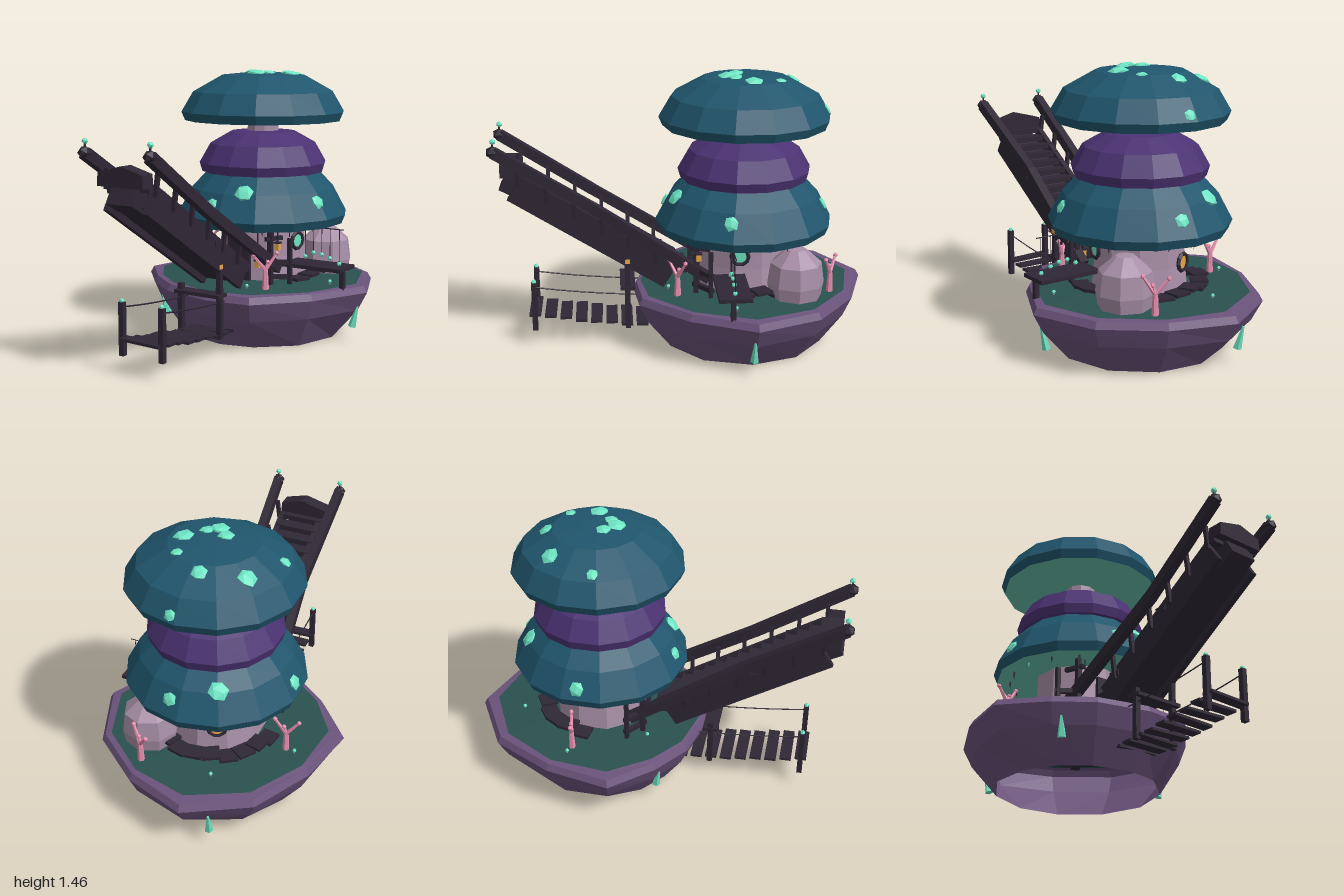
import * as THREE from 'three';

const mat = (name, color, side = THREE.FrontSide) => {
  const m = new THREE.MeshStandardMaterial({ color, flatShading: true, side });
  m.name = name;
  return m;
};
const TEAL = mat('teal cap', 0x20566d), PURPLE = mat('purple cap', 0x4b3272), GILL = mat('gill green', 0x66c0ac);
const ROCK = mat('purple rock', 0x6b537b, THREE.DoubleSide), MOSS = mat('moss green', 0x2a514e, THREE.DoubleSide);
const MINT = mat('glowing mint', 0x6ee6c4), WOOD = mat('dark wood', 0x2f2735);
const LILAC = mat('pale lilac', 0xa88fa7), PINK = mat('coral pink', 0xe890b0), AMBER = mat('amber lantern', 0xe8a848);

const CZ = -0.33; // centre line of the tower
const rad = THREE.MathUtils.degToRad;
const V = (x, y, z) => new THREE.Vector3(x, y, z);
const around = (deg, r, y) => V(Math.sin(rad(deg)) * r, y, CZ + Math.cos(rad(deg)) * r);

export function createModel() {
  const model = new THREE.Group();
  model.name = 'mushroomTowerIsland';

  const add = (name, geo, material, p = V(0, 0, 0)) => {
    const m = new THREE.Mesh(geo, material);
    m.name = name;
    m.position.copy(p);
    model.add(m);
    return m;
  };
  const box = (name, w, h, d, material, x, y, z) => add(name, new THREE.BoxGeometry(w, h, d), material, V(x, y, z));
  // square beam running from a to b
  const beam = (name, a, b, w, h, material = WOOD) => {
    const m = add(name, new THREE.BoxGeometry(w, h, a.distanceTo(b)), material, a.clone().lerp(b, 0.5));
    m.lookAt(b);
    return m;
  };
  // round rod running from a to b
  const rod = (name, a, b, ra, rb, material, sides = 6) => {
    const m = add(name, new THREE.CylinderGeometry(rb, ra, a.distanceTo(b), sides), material, a.clone().lerp(b, 0.5));
    m.quaternion.setFromUnitVectors(V(0, 1, 0), b.clone().sub(a).normalize());
    return m;
  };
  const ball = (name, p, r, material = MINT) => add(name, new THREE.IcosahedronGeometry(r, 0), material, p);
  const lathe = (name, pts, sides, material, p = V(0, 0, CZ)) =>
    add(name, new THREE.LatheGeometry(pts.map(q => new THREE.Vector2(...q)), sides), material, p);

  // Island: irregular twelve-sided shell on a round foot, open underneath
  const angles = [0, 24.5, 57, 91, 124, 157, 188, 220.6, 254, 285, 310, 332];
  const radii = [0.6, 0.63, 0.59, 0.65, 0.62, 0.61, 0.68, 0.645, 0.61, 0.68, 0.61, 0.6];
  // each profile row: radius, height, how far the irregular outline applies
  const island = (name, profile, material) => {
    const geo = new THREE.LatheGeometry(profile.map(q => new THREE.Vector2(q[0], q[1])), 12);
    const pos = geo.attributes.position, n = profile.length;
    for (let k = 0; k < pos.count; k++) {
      const i = Math.floor(k / n) % 12, [f, y, wobble] = profile[k % n];
      const a = rad(angles[i]), r = f * (0.63 + (radii[i] - 0.63) * wobble);
      pos.setXYZ(k, Math.sin(a) * r, y, Math.cos(a) * r);
    }
    geo.computeVertexNormals();
    add(name, geo, material, V(0, 0, CZ));
  };
  island('islandRock', [[0.705, 0, 0], [0.92, 0.17, 0.8], [1, 0.275, 1], [0.97, 0.31, 1], [0.91, 0.316, 0.5]], ROCK);
  island('mossGround', [[0.91, 0.316, 0.5], [0.5, 0.322, 0], [0, 0.322, 0]], MOSS);

  // Dark timber floor and braces under the ground
  add('underFloor', new THREE.CylinderGeometry(0.45, 0.45, 0.02, 12), WOOD, V(0, 0.295, CZ));
  for (let i = 0; i < 6; i++) beam('underBrace', around(i * 60, 0.1, 0.28), around(i * 60 + 25, 0.42, 0.28), 0.05, 0.04);

  // Tower walls and neck
  lathe('towerWall', [[0.26, 0.31], [0.245, 0.45], [0.235, 0.66]], 10, LILAC);
  lathe('towerNeck', [[0.09, 1.08], [0.085, 1.22]], 10, LILAC);

  // Three mushroom caps with pale gills
  const lower = [[0.455, 0.622], [0.475, 0.67], [0.4, 0.81], [0.31, 0.905], [0, 0.95]];
  const middle = [[0.34, 0.9], [0.355, 0.95], [0.295, 1.055], [0.18, 1.12], [0, 1.13]];
  const upper = [[0.435, 1.183], [0.455, 1.23], [0.39, 1.34], [0.23, 1.43], [0.08, 1.445], [0, 1.445]];
  for (const [name, p, m, under] of [['lowerCap', lower, TEAL, GILL], ['middleCap', middle, PURPLE, PURPLE], ['upperCap', upper, TEAL, GILL]]) {
    lathe(name, p, 14, m);
    lathe(name + 'Underside', [[0, p[0][1] + 0.02], [p[0][0], p[0][1]]], 14, under);
  }

  // Glowing spots lying on the cap surface
  const spot = (profile, deg, r, size) => {
    let k = 1;
    while (k < profile.length - 2 && profile[k + 1][0] > r) k++;
    const [r0, y0] = profile[k], [r1, y1] = profile[k + 1];
    const y = y0 + (y1 - y0) * (r0 - r) / (r0 - r1);
    const up = V(Math.sin(rad(deg)) * (y1 - y0), r0 - r1, Math.cos(rad(deg)) * (y1 - y0)).normalize();
    const m = ball('glowSpot', around(deg, r * 0.99, y), size * 1.15);
    m.scale.y = 0.35;
    m.quaternion.setFromUnitVectors(V(0, 1, 0), up);
  };
  for (const [x, z, s] of [[-0.25, -0.51, 0.043], [-0.04, -0.59, 0.036], [0.12, -0.5, 0.027], [0.155, -0.355, 0.047], [-0.04, -0.285, 0.038],
    [0.07, -0.27, 0.034], [0.02, -0.23, 0.047], [-0.345, -0.27, 0.028], [0.03, -0.765, 0.028]])
    spot(upper, THREE.MathUtils.radToDeg(Math.atan2(x, z - CZ)), Math.hypot(x, z - CZ), s);
  for (const [deg, r, s] of [[-9, 0.43, 0.032], [16, 0.39, 0.046], [75, 0.425, 0.036], [172, 0.43, 0.034], [206, 0.39, 0.046], [267, 0.445, 0.036]])
    spot(lower, deg, r, s);

  // Drips hanging below the lower cap
  for (let i = 0; i < 16; i++)
    rod('capDrip', around(i * 22.5 + 8, 0.38, 0.64), around(i * 22.5 + 8, 0.38, 0.6 - (i % 3) * 0.01), 0.008, 0.001, i % 4 ? WOOD : MINT, 5);

  // Round windows with wooden frames
  for (const [deg, y, m] of [[80, 0.53, MINT], [204, 0.47, AMBER]]) {
    const group = new THREE.Group();
    group.name = 'roundWindow';
    const frame = new THREE.Mesh(new THREE.TorusGeometry(0.045, 0.011, 5, 10), WOOD);
    frame.name = 'windowFrame';
    const pane = new THREE.Mesh(new THREE.CircleGeometry(0.043, 10), m);
    pane.name = 'windowPane';
    group.add(frame, pane);
    group.position.copy(around(deg, 0.252, y));
    group.rotation.y = rad(deg);
    model.add(group);
  }
  box('door', 0.14, 0.24, 0.02, WOOD, 0, 0.44, CZ + 0.25);

  // Plank walkway around the house
  for (let i = 0; i < 13; i++) {
    const m = box('walkwayPlank', 0.095, 0.016, 0.09, WOOD, 0, 0, 0);
    m.position.copy(around(70 + i * 16, 0.31, 0.335 + (i % 3) * 0.01));
    m.rotation.y = rad(70 + i * 16 + (i % 3) * 6);
  }

  // Small hanging lanterns
  for (const [x, y, z] of [[-0.165, 0.52, -0.06], [0.15, 0.43, -0.03], [0.25, 0.53, -0.07]]) {
    box('lantern', 0.026, 0.036, 0.026, AMBER, x, y, z);
    box('lanternLid', 0.034, 0.008, 0.034, WOOD, x, y + 0.022, z);
    beam('lanternHanger', V(x, y + 0.02, z), V(x, 0.63, z), 0.006, 0.006);
  }

  // Mirrored front porch, stair rails and bridge sides
  for (const s of [-1, 1]) {
    beam('porchPost', V(s * 0.29, 0.31, -0.13), V(s * 0.29, 0.57, -0.13), 0.022, 0.022);
    beam('porchPost', V(s * 0.21, 0.31, -0.06), V(s * 0.21, 0.62, -0.06), 0.026, 0.026);
    for (const y of [0.36, 0.44]) beam('porchRail', V(s * 0.3, y, -0.14), V(s * 0.18, y, -0.05), 0.022, 0.026);
    beam('porchLintel', V(s * 0.24, 0.57, -0.13), V(s * 0.2, 0.57, -0.03), 0.022, 0.022);

    // tall sloping rails, slightly bowed inward
    const rail = [V(s * 0.19, 1.1, 0.975), V(s * 0.167, 0.79, 0.48), V(s * 0.215, 0.4, -0.13)];
    beam('stairRail', rail[1], rail[0], 0.046, 0.055);
    beam('stairRail', rail[2], rail[1], 0.046, 0.055);
    ball('railKnob', rail[0], 0.034, WOOD);
    rod('railTipStem', rail[0], V(s * 0.19, 1.15, 0.97), 0.005, 0.005, WOOD);
    ball('railTipGlow', V(s * 0.19, 1.155, 0.97), 0.016);
    for (let i = 0; i < 6; i++) {
      const z = 0.86 - i * 0.142, y = 0.92 - i * 0.088;
      beam('stairBaluster', V(s * 0.133, y - 0.02, z), V(s * 0.15, y + 0.1, z), 0.02, 0.02);
    }
    beam('stairStringer', V(s * 0.115, 0.385, 0.07), V(s * 0.115, 0.89, 0.88), 0.03, 0.15);

    // rope bridge posts and ropes
    for (const z of [0.8, 0.3]) beam('bridgePost', V(s * 0.12, 0.09, z), V(s * 0.12, 0.36, z), 0.028, 0.028);
    ball('bridgePostGlow', V(s * 0.12, 0.365, 0.8), 0.014);
    const rope = new THREE.QuadraticBezierCurve3(V(s * 0.12, 0.335, 0.8), V(s * 0.12, 0.29, 0.5), V(s * 0.12, 0.28, 0.22));
    add('bridgeRope', new THREE.TubeGeometry(rope, 8, 0.004, 4), WOOD);
  }

  // Staircase: treads, underside and gabled end
  beam('stairUnderside', V(0, 0.37, 0.08), V(0, 0.87, 0.88), 0.21, 0.05);
  for (let i = 0; i < 15; i++) {
    const t = i / 14;
    box('stairTread', 0.235 + (i % 3) * 0.015, 0.03, 0.07, WOOD, (i % 2) * 0.008 - 0.004, 0.41 + t * 0.53, 0.02 + t * 0.85);
  }
  const gable = new THREE.Shape([[-0.14, 0.95], [0.13, 0.95], [0.125, 1.015], [0, 1.05], [-0.135, 1.015]].map(q => new THREE.Vector2(...q)));
  add('stairEndCap', new THREE.ExtrudeGeometry(gable, { depth: 0.08, bevelEnabled: false }), WOOD, V(0, -0.005, 0.87));
  beam('stairNose', V(0, 0.86, 0.85), V(0, 0.91, 0.94), 0.15, 0.1);

  // Rope bridge planks
  for (let i = 0; i < 9; i++) {
    const t = i / 8;
    const m = box('bridgePlank', 0.24, 0.014, 0.062, WOOD, 0, 0.1 + 0.075 * (1 - t) ** 1.5, 0.8 - t * 0.66);
    m.rotation.z = (i % 3 - 1) * 0.03;
  }
  box('bridgeCrossbar', 0.28, 0.018, 0.08, WOOD, 0, 0.32, 0.3);
  beam('lanternPost', V(0.12, 0.3, 0.3), V(0.12, 0.46, 0.3), 0.026, 0.026);
  box('postLantern', 0.026, 0.028, 0.026, AMBER, 0.12, 0.473, 0.3);
  box('postLanternLid', 0.036, 0.008, 0.036, WOOD, 0.12, 0.49, 0.3);

  // Side balcony with a line of hanging glow beads
  box('balconyDeck', 0.35, 0.02, 0.17, WOOD, 0.41, 0.418, -0.23);
  beam('balconyPost', V(0.56, 0.29, -0.22), V(0.56, 0.41, -0.22), 0.026, 0.026);
  rod('beadLine', V(0.26, 0.625, -0.23), V(0.56, 0.625, -0.23), 0.003, 0.003, WOOD, 4);
  [[0.33, 0.46], [0.38, 0.485], [0.43, 0.48], [0.48, 0.465], [0.535, 0.44]].forEach(([x, y]) => {
    rod('beadString', V(x, y, -0.23), V(x, 0.625, -0.23), 0.002, 0.002, WOOD, 4);
    ball('glowBead', V(x, y, -0.23), 0.013);
  });

  // Boulder
  lathe('boulder', [[0.135, 0.3], [0.15, 0.39], [0.135, 0.5], [0.05, 0.575], [0, 0.58]], 8, LILAC, V(0.27, 0, -0.58));

  // Forked corals
  for (const [x, z, turn] of [[-0.42, -0.4, 0.2], [0.24, 0.04, 0.7], [0.23, -0.77, -0.6]]) {
    const fork = V(x, 0.42, z), c = Math.cos(turn), s = Math.sin(turn);
    rod('coralStem', V(x, 0.31, z), fork, 0.019, 0.013, PINK);
    for (const [d, y] of [[-0.065, 0.5], [0.06, 0.51], [0.012, 0.465]]) {
      const tip = V(x + d * c, y, z - d * s);
      rod('coralBranch', fork, tip, 0.011, 0.007, PINK, 5);
      ball('coralTip', tip, 0.013, PINK);
    }
  }

  // Glowing seeps on the island's flank
  for (const [x, z, y] of [[-0.41, 0.07, 0.23], [0.6, -0.33, 0.2], [-0.21, -0.91, 0.21]]) {
    const top = V(x, y, z), low = V(x * 0.95, y - 0.12, CZ + (z - CZ) * 0.95);
    rod('glowSeep', low, top, 0.023, 0.006, MINT, 5);
  }

  // Small glowing sprouts on the moss
  for (let i = 0; i < 6; i++) {
    const p = around(i * 60 - 40, 0.4 + (i % 3) * 0.04, 0.335);
    rod('sproutStem', V(p.x, 0.31, p.z), p, 0.004, 0.004, LILAC, 4);
    ball('sproutGlow', p, 0.011);
  }
  return model;
}
